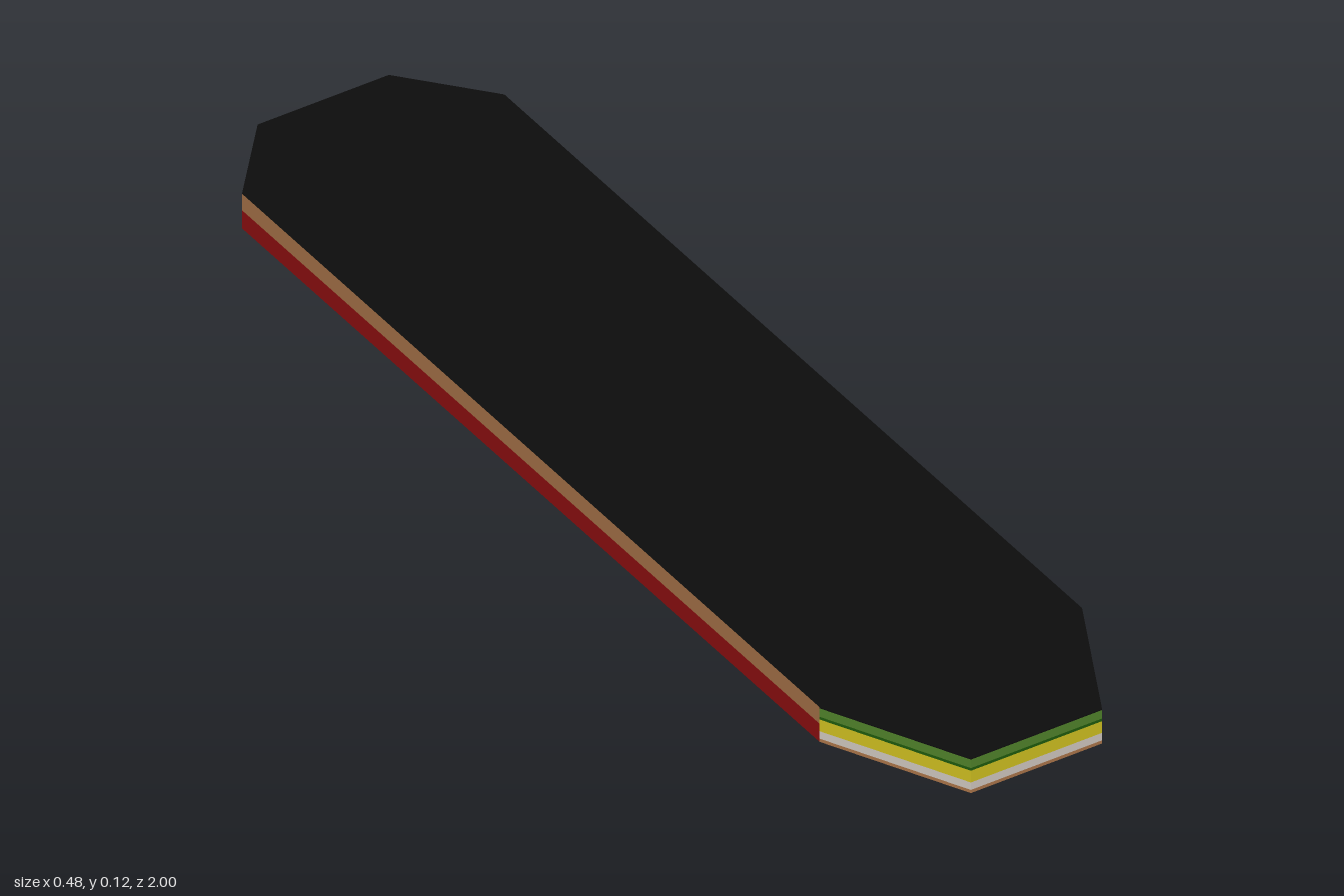
import * as THREE from 'three';

const mat = (name, color, side = THREE.FrontSide) => {
  const m = new THREE.MeshStandardMaterial({ color, side });
  m.name = name;
  return m;
};

export function createModel() {
  const black = mat('black', 0x0d0d0d);
  const green = mat('green', 0x4f8029);
  const darkGreen = mat('darkGreen', 0x1e5a0c);
  const yellow = mat('yellow', 0xccbd20);
  const white = mat('white', 0xcdc5bd, THREE.DoubleSide);
  const brown = mat('brown', 0xa87348);
  const red = mat('red', 0x8f0f10);
  const maroon = mat('maroon', 0x380a0a);
  const wellGreen = mat('wellGreen', 0x2ba012);

  const TOP = 0.122, RIM = 0.057, FLAT = 0.018;
  const FLAT_X = 0.115, FLAT_FRONT = 0.53, FLAT_BACK = -0.77;
  const model = new THREE.Group();
  model.name = 'board';

  const add = (parent, name, geo, material) => {
    const mesh = new THREE.Mesh(geo, material);
    mesh.name = name;
    parent.add(mesh);
    return mesh;
  };
  const toShape = pts => new THREE.Shape(pts.map(p => new THREE.Vector2(p[0], p[1])));

  // Flat shape whose 2D points are carried into space by a rule
  const mapped = (shape, rule) => {
    const geo = new THREE.ShapeGeometry(shape);
    const p = geo.attributes.position;
    for (let i = 0; i < p.count; i++) p.setXYZ(i, ...rule(p.getX(i), p.getY(i)));
    geo.computeVertexNormals();
    return geo;
  };

  // Outline in plan (x, z), starting with the front edge
  const outline = [
    [-0.12, 1], [0.12, 1], [0.24, 0.76], [0.24, -0.86],
    [0.12, -1], [-0.12, -1], [-0.24, -0.86], [-0.24, 0.76],
  ];

  // Top deck
  const deck = new THREE.ShapeGeometry(toShape(outline.map(([x, z]) => [x, -z])));
  deck.rotateX(-Math.PI / 2).translate(0, TOP, 0);
  add(model, 'topDeck', deck, black);

  // Wall patterns: colour and polygon in (fraction along the wall, height)
  const bands = list => list.map(([m, hi, lo]) => [m, [[0, lo], [1, lo], [1, hi], [0, hi]]]);
  const layers = bands([
    [black, TOP, 0.12], [green, 0.12, 0.104], [darkGreen, 0.104, 0.099],
    [yellow, 0.099, 0.077], [white, 0.077, 0.063], [brown, 0.063, RIM],
  ]);
  const sides = bands([[brown, TOP, 0.091], [red, 0.091, RIM]]);
  const slanted = [
    [green, [[0, TOP], [0, 0.104], [0.2, TOP]]],
    [darkGreen, [[0, 0.104], [0, 0.099], [0.28, TOP], [0.2, TOP]]],
    [yellow, [[0, 0.099], [0, 0.077], [0.58, TOP], [0.28, TOP]]],
    [white, [[0, 0.077], [0, 0.063], [0.75, TOP], [0.58, TOP]]],
    [brown, [[0, 0.063], [0, RIM], [0.67, 0.105], [1, 0.091], [1, TOP], [0.75, TOP]]],
    [red, [[0, RIM], [1, RIM], [1, 0.091], [0.67, 0.105]]],
  ];
  const slantedBack = slanted.map(([m, pts]) => [m, pts.map(([t, y]) => [1 - t, y])]);

  // Edge walls, following the outline round
  const walls = [
    ['frontWall', layers], ['frontLeftWall', slanted], ['leftWall', sides],
    ['backLeftWall', slantedBack], ['backWall', layers], ['backRightWall', layers],
    ['rightWall', sides], ['frontRightWall', layers],
  ];
  walls.forEach(([name, pattern], i) => {
    const [ax, az] = outline[i], [bx, bz] = outline[(i + 1) % 8];
    const group = new THREE.Group();
    group.name = name;
    for (const [m, pts] of pattern) {
      const rule = (t, y) => [ax + (bx - ax) * t, y, az + (bz - az) * t];
      add(group, m.name + 'Layer', mapped(toShape(pts), rule), m);
    }
    model.add(group);
  });

  // Foot ring sizes
  const OUT = [0.115, 0.138], IN = [0.093, 0.112];
  const FRONT_Z = 0.412, BACK_Z = -0.74;
  const arc = (cz, from, to) => Array.from({ length: 25 }, (_, i) => {
    const a = from + (to - from) * i / 24;
    return [IN[0] * Math.cos(a), cz + IN[1] * Math.sin(a)];
  });
  const cut = Math.asin((FLAT_BACK - BACK_Z) / IN[1]);

  // Underside: flat middle, open at both wells
  const flat = toShape([
    [FLAT_X, FLAT_BACK], [FLAT_X, FLAT_FRONT], [-FLAT_X, FLAT_FRONT], [-FLAT_X, FLAT_BACK],
    ...arc(BACK_Z, Math.PI - cut, cut),
  ]);
  flat.holes.push(new THREE.Path(arc(FRONT_Z, 0, Math.PI * 2).slice(0, 24)
    .map(p => new THREE.Vector2(...p))));
  add(model, 'undersideFlat', mapped(flat, (x, z) => [x, FLAT, z]), maroon);

  // Underside: long side slopes
  const rise = (v, a, b) => FLAT + (RIM - FLAT) * (v - a) / (b - a);
  for (const s of [1, -1]) {
    const slope = toShape([
      [s * FLAT_X, FLAT_BACK], [s * 0.24, -0.86], [s * 0.24, 0.76], [s * FLAT_X, FLAT_FRONT],
    ]);
    add(model, 'undersideSideSlope',
      mapped(slope, (x, z) => [x, rise(Math.abs(x), FLAT_X, 0.24), z]), maroon);
  }

  // Underside: end slopes, each a middle panel and two corner triangles
  const ends = [
    ['front', 1, FLAT_FRONT, 0.76, []],
    ['back', -1, FLAT_BACK, -0.86, arc(BACK_Z, Math.PI - cut, Math.PI * 2 + cut)],
  ];
  for (const [name, end, inner, corner, notch] of ends) {
    const panel = toShape([
      [FLAT_X, inner], [0.12, end], [-0.12, end], [-FLAT_X, inner], ...notch,
    ]);
    add(model, name + 'UndersideSlope',
      mapped(panel, (x, z) => [x, rise(z, inner, end), z]), red);
    for (const s of [1, -1]) {
      const tri = toShape([[s * FLAT_X, inner], [s * 0.12, end], [s * 0.24, corner]]);
      add(model, name + 'UndersideCorner',
        mapped(tri, (x, z) => [x, z === inner || Math.abs(z - inner) < 1e-5 ? FLAT : RIM, z]), red);
    }
  }

  // Oval foot rings with recessed wells
  const tube = (r, h, start, sweep, seg) =>
    new THREE.CylinderGeometry(1, 1, h, seg, 1, true, start, sweep)
      .scale(r[0], 1, r[1]).translate(0, h / 2, 0);
  for (const [name, z] of [['frontFootRing', FRONT_Z], ['backFootRing', BACK_Z]]) {
    const foot = new THREE.Group();
    foot.name = name;
    add(foot, 'outerWallLeft', tube(OUT, 0.042, 0, Math.PI, 12), red);
    add(foot, 'outerWallRight', tube(OUT, 0.042, Math.PI, Math.PI, 12), brown);
    add(foot, 'innerWall', tube(IN, 0.05, 0, Math.PI * 2, 24), white);
    const rim = new THREE.RingGeometry(IN[0] / OUT[0], 1, 24, 1);
    add(foot, 'rim', rim.rotateX(Math.PI / 2).scale(OUT[0], 1, OUT[1]), white);
    const well = new THREE.CircleGeometry(1, 24).rotateX(Math.PI / 2);
    add(foot, 'well', well.scale(IN[0], 1, IN[1]).translate(0, 0.05, 0), wellGreen);
    foot.position.z = z;
    model.add(foot);
  }
  return model;
}
